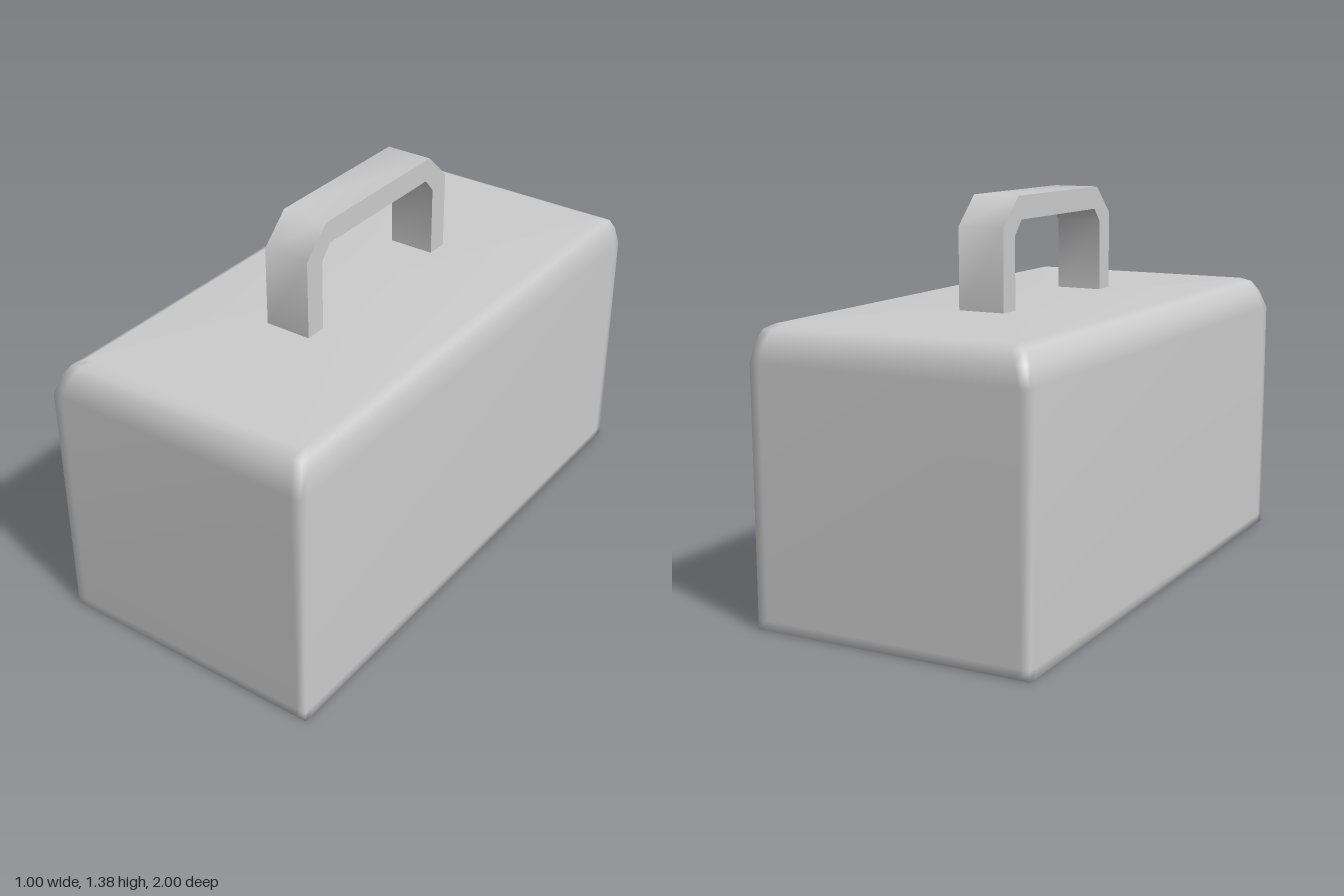
import * as THREE from 'three';
import { toCreasedNormals } from 'three/addons/utils/BufferGeometryUtils.js';

const material = new THREE.MeshStandardMaterial({ color: 0xcccccc });

// Rectangular ring, with two narrow support points beside each corner
function ring([y, x0, x1, z0, z1], s = 0.035) {
  return [
    [x1 - s, y, z1], [x1, y, z1], [x1, y, z1 - s],
    [x1, y, z0 + s], [x1, y, z0], [x1 - s, y, z0],
    [x0 + s, y, z0], [x0, y, z0], [x0, y, z0 + s],
    [x0, y, z1 - s], [x0, y, z1], [x0 + s, y, z1],
  ];
}

// Closed smooth solid lofted through the rings from bottom to top
function loft(sections) {
  const n = 12, points = sections.flatMap((s) => ring(s)), index = [];
  const last = (sections.length - 1) * n;
  for (let k = 0; k < last; k += n) {
    for (let i = 0; i < n; i++) {
      const j = (i + 1) % n;
      index.push(k + i, k + j, k + n + j, k + i, k + n + j, k + n + i);
    }
  }
  const bottom = points.length, top = bottom + 1;
  points.push([0, sections[0][0], 0], [0, sections.at(-1)[0], 0]);
  for (let i = 0; i < n; i++) {
    const j = (i + 1) % n;
    index.push(bottom, j, i, top, last + i, last + j);
  }
  const geometry = new THREE.BufferGeometry();
  geometry.setAttribute('position', new THREE.Float32BufferAttribute(points.flat(), 3));
  geometry.setIndex(index);
  geometry.computeVertexNormals();
  return geometry;
}

export function createModel() {
  const group = new THREE.Group();

  // Body: square foot, straight walls, slightly uneven rounded top edges
  const body = new THREE.Mesh(loft([
    [0, -0.465, 0.465, -0.965, 0.965],
    [0, -0.5, 0.5, -1, 1],
    [0.035, -0.5, 0.5, -1, 1],
    [0.88, -0.5, 0.5, -1, 1],
    [0.945, -0.477, 0.487, -0.985, 0.976],
    [0.985, -0.45, 0.474, -0.96, 0.955],
    [1, -0.42, 0.445, -0.925, 0.915],
  ]), material);
  body.name = 'body';
  group.add(body);

  // Handle: bent flat bar drawn in side view and extruded across x
  const half = [[0.405, 1], [0.405, 1.28], [0.3, 1.38]];
  const inner = [[0.28, 1.3], [0.325, 1.25], [0.325, 1]];
  const mirror = (list) => list.map(([z, y]) => [-z, y]).reverse();
  const outline = [...half, ...mirror(half), ...mirror(inner), ...inner];
  const shape = new THREE.Shape(outline.map(([z, y]) => new THREE.Vector2(z, y)));
  const bar = new THREE.ExtrudeGeometry(shape, { depth: 0.17, bevelEnabled: false });
  bar.translate(0, 0, -0.085).rotateY(-Math.PI / 2);
  const handle = new THREE.Mesh(toCreasedNormals(bar, Math.PI / 3), material);
  handle.name = 'handle';
  group.add(handle);

  return group;
}
